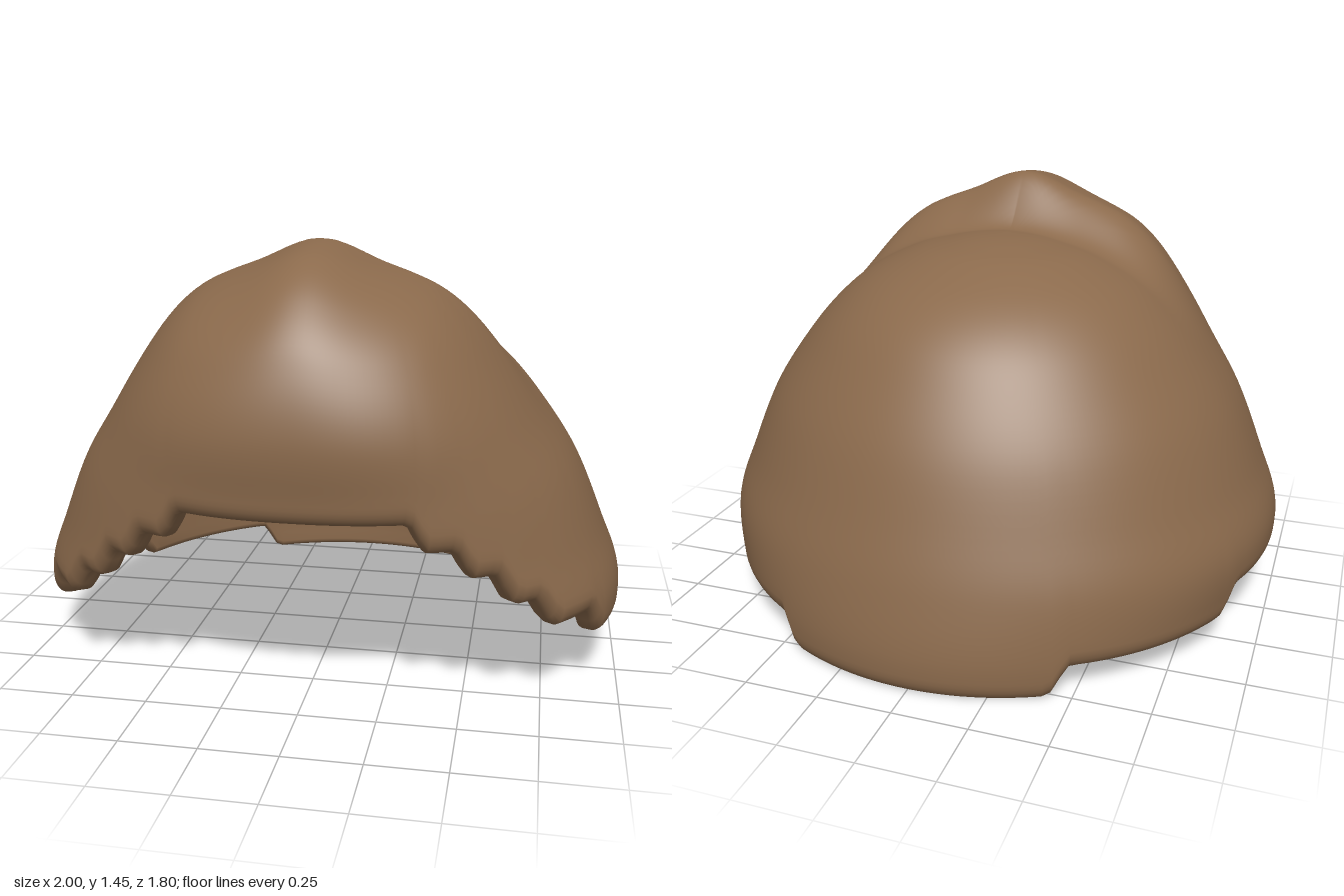
import * as THREE from 'three';
import { mergeVertices } from 'three/addons/utils/BufferGeometryUtils.js';

const smooth = (v, a, b) => THREE.MathUtils.smoothstep(v, a, b);
const AXIS_Z = 0.1, THICK = 0.09, COLUMNS = 216;

// Horizontal sections: height, then reach to the front, side and back
const LEVELS = [
  [1.27, 0, 0, 0], [1.263, 0.18, 0.1, 0.1], [1.245, 0.35, 0.2, 0.2], [1.21, 0.48, 0.33, 0.32],
  [1.13, 0.625, 0.49, 0.49], [1.03, 0.74, 0.61, 0.62], [0.9, 0.8, 0.72, 0.72],
  [0.72, 0.785, 0.84, 0.82], [0.5, 0.775, 0.935, 0.9], [0.31, 0.77, 1.0, 0.96],
  [0.1, 0.76, 0.97, 1.0], [-0.08, 0.74, 0.94, 0.98],
];

// Stepped hem: each step drops the edge at an angle from the front (degrees)
const STEPS = [[28, 0.09], [38, 0.09], [47, 0.1], [56, 0.095], [70, 0.095], [113, 0.1], [152, 0.1]];
function hemHeight(angle) {
  const deg = Math.abs(angle) * 180 / Math.PI;
  return STEPS.reduce((y, [at, drop]) => y - drop * smooth(deg, at - 2.4, at + 2.4), 0.67);
}

// Vertical profile of the cap in one direction; the front half is a little squarer
function profile(angle) {
  const s = Math.abs(Math.sin(angle)), c = Math.cos(angle);
  const power = c > 0 ? 2.3 : 2;
  return new THREE.SplineCurve(LEVELS.map(([y, front, side, back]) => {
    const depth = c > 0 ? front : back;
    const r = side ? ((s / side) ** power + (Math.abs(c) / depth) ** power) ** (-1 / power) : 0;
    return new THREE.Vector2(r, y);
  }));
}

// Raised front volume with a soft peak and a crease behind it
function lift(x, y, z) {
  const ax = Math.abs(x);
  const across = 0.13 * (1 - smooth(ax, 0.35, 0.95)) + 0.06 * Math.exp(-((x / 0.16) ** 2));
  return across * smooth(z, 0.12 - 0.12 * ax, 0.33) * smooth(y, 0.8, 1.2);
}

// One column: outer wall down, round the hem, inner wall back up
function column(angle) {
  const curve = profile(angle), hem = hemHeight(angle), points = [];
  const lipHeight = 0.065, lipWidth = 0.04, innerLip = 0.025;
  let lo = 0, hi = 1;
  for (let k = 0; k < 30; k++) {
    const mid = (lo + hi) / 2;
    if (curve.getPoint(mid).y > hem + lipHeight) lo = mid; else hi = mid;
  }
  const edge = curve.getPoint(lo);
  const add = (r, y, drop = 0) => {
    const x = Math.sin(angle) * r, z = AXIS_Z + Math.cos(angle) * r;
    points.push(x, y + lift(x, y, z) - drop, z);
  };
  for (let j = 0; j <= 64; j++) {
    const p = curve.getPoint(lo * j / 64);
    add(p.x, p.y);
  }
  // Outer edge rolls in gently, inner edge turns tightly
  for (let j = 1; j <= 6; j++) {
    const t = Math.PI * j / 12;
    add(edge.x - lipWidth * (1 - Math.cos(t)), hem + lipHeight * (1 - Math.sin(t)));
  }
  for (let j = 0; j <= 4; j++) {
    const t = Math.PI * j / 8;
    add(edge.x - THICK + innerLip * (1 - Math.sin(t)), hem + innerLip * (1 - Math.cos(t)));
  }
  const shrink = 1 - THICK / edge.x;
  for (let j = 40; j >= 0; j--) {
    const p = curve.getPoint(lo * j / 40);
    add(p.x * shrink, p.y, THICK * (p.y - edge.y) / (1.27 - edge.y));
  }
  return points;
}

// Columns are joined round the axis; welding closes the two poles
function shellGeometry() {
  const columns = [], index = [];
  for (let i = 0; i < COLUMNS; i++) columns.push(column((i / COLUMNS * 2 - 1) * Math.PI));
  const rows = columns[0].length / 3;
  for (let i = 0; i < COLUMNS; i++) {
    const a = i * rows, b = ((i + 1) % COLUMNS) * rows;
    for (let j = 0; j < rows - 1; j++) {
      if (j > 0) index.push(a + j, b + j + 1, b + j);
      if (j < rows - 2) index.push(a + j, a + j + 1, b + j + 1);
    }
  }
  const geometry = new THREE.BufferGeometry();
  geometry.setAttribute('position', new THREE.Float32BufferAttribute(columns.flat(), 3));
  geometry.setIndex(index);
  const welded = mergeVertices(geometry, 1e-5);
  welded.computeVertexNormals();
  return welded;
}

export function createModel() {
  const group = new THREE.Group();
  group.name = 'hairCap';
  const material = new THREE.MeshStandardMaterial({ color: 0x8b6a4c });
  const shell = new THREE.Mesh(shellGeometry(), material);
  shell.name = 'hairShell';
  group.add(shell);
  return group;
}
